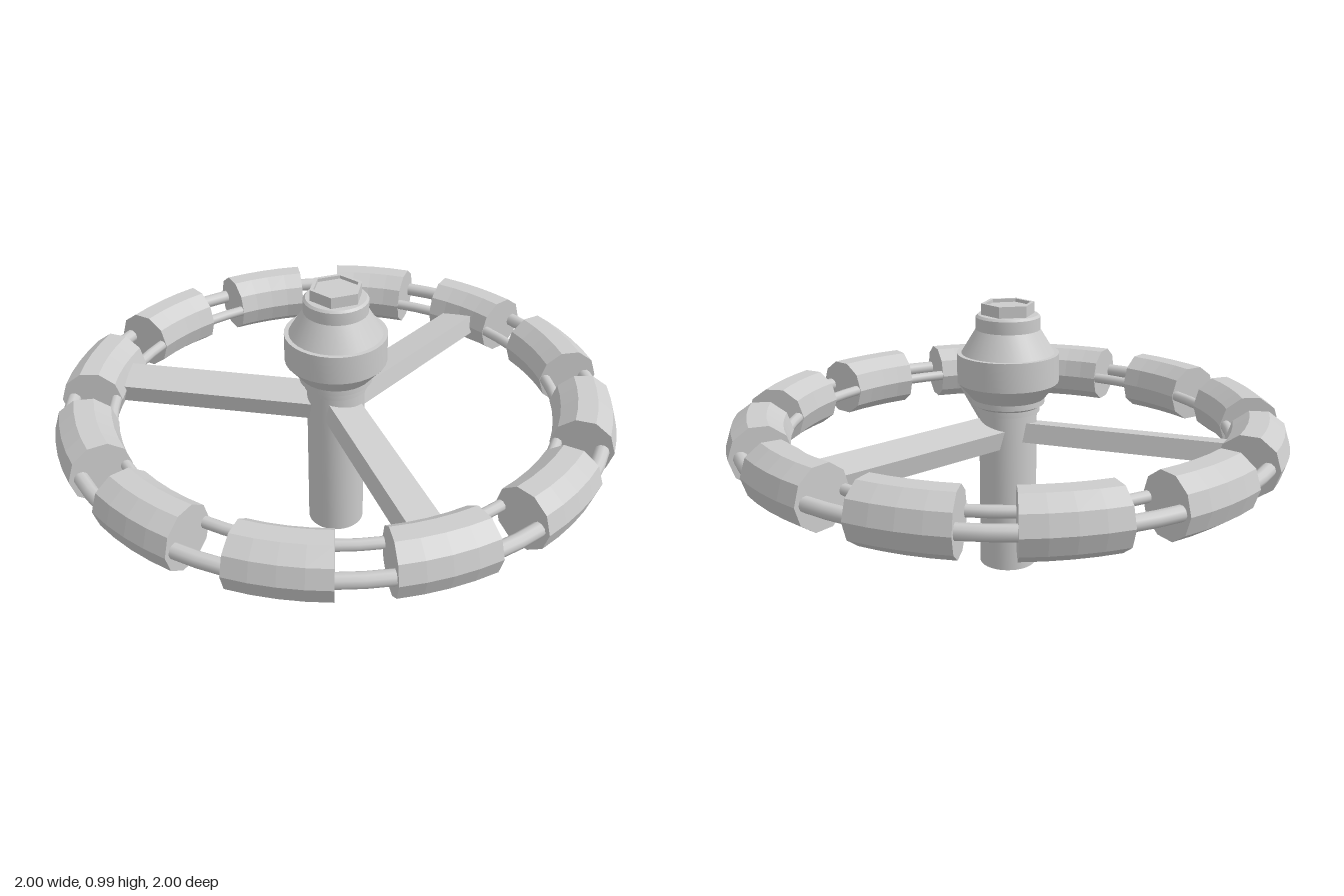
import * as THREE from 'three';
import { mergeGeometries, toCreasedNormals } from 'three/addons/utils/BufferGeometryUtils.js';

const RIM_Y = 0.525, RIM_R = 0.89, GRIP_R = 0.11;
const smooth = new THREE.MeshStandardMaterial({ color: 0xcccccc });
const faceted = new THREE.MeshStandardMaterial({ color: 0xcccccc, flatShading: true });

function add(parent, name, geometry, material = smooth) {
  const mesh = new THREE.Mesh(geometry, material);
  mesh.name = name;
  parent.add(mesh);
  return mesh;
}

// Solid turned about the y axis, with sharp edges kept
function turned(points, sides) {
  const profile = points.map(([r, y]) => new THREE.Vector2(r, y));
  return toCreasedNormals(new THREE.LatheGeometry(profile, sides), 0.45);
}

// Closed ten-sided arc of the rim, centred on +x
function gripGeometry() {
  const arc = THREE.MathUtils.degToRad(19.4);
  const tube = new THREE.TorusGeometry(RIM_R, GRIP_R, 10, 4, arc);
  const start = new THREE.CircleGeometry(GRIP_R, 10).rotateX(Math.PI / 2).translate(RIM_R, 0, 0);
  const end = new THREE.CircleGeometry(GRIP_R, 10).rotateX(-Math.PI / 2).translate(RIM_R, 0, 0).rotateZ(arc);
  return mergeGeometries([tube, start, end]).rotateZ(-arc / 2).rotateX(-Math.PI / 2);
}

function hexagon(r, Kind) {
  const shape = new Kind();
  for (let i = 0; i < 6; i++) {
    const a = Math.PI / 2 + i * Math.PI / 3;
    shape[i ? 'lineTo' : 'moveTo'](r * Math.cos(a), r * Math.sin(a));
  }
  shape.closePath();
  return shape;
}

export function createModel() {
  const model = new THREE.Group();
  model.name = 'handwheel';

  // Rim: twelve grips threaded on two thin rings
  const rim = new THREE.Group();
  rim.name = 'rim';
  rim.position.y = RIM_Y;
  model.add(rim);
  const grip = gripGeometry();
  for (let i = 0; i < 12; i++) {
    add(rim, 'grip', grip, faceted).rotation.y = i * Math.PI / 6;
  }
  add(rim, 'outerRing', new THREE.TorusGeometry(0.957, 0.026, 10, 72).rotateX(-Math.PI / 2));
  add(rim, 'innerRing', new THREE.TorusGeometry(0.803, 0.02, 10, 72).rotateX(-Math.PI / 2));

  // Three flat spokes, each rolled slightly about its length
  const spoke = new THREE.BoxGeometry(0.8, 0.07, 0.13).rotateX(-0.2).translate(0.43, 0, 0);
  for (let i = 0; i < 3; i++) {
    const mesh = add(model, 'spoke', spoke, faceted);
    mesh.position.y = RIM_Y - 0.005;
    mesh.rotation.y = i * Math.PI * 2 / 3;
  }

  // Central post
  add(model, 'post', turned([[0, 0], [0.105, 0], [0.105, 0.61], [0, 0.61]], 32));

  // Stepped hub cap above the spokes
  add(model, 'hubCap', turned([
    [0, 0.595], [0.115, 0.595], [0.115, 0.615], [0.132, 0.625], [0.132, 0.645],
    [0.183, 0.705], [0.183, 0.81], [0.167, 0.81], [0.115, 0.895],
    [0.115, 0.94], [0.107, 0.948], [0, 0.948],
  ], 32));

  // Hexagonal nut with a shallow recessed top
  const nutShape = hexagon(0.096, THREE.Shape);
  nutShape.holes.push(hexagon(0.082, THREE.Path));
  const nut = new THREE.ExtrudeGeometry(nutShape, { depth: 0.045, bevelEnabled: false });
  add(model, 'nut', nut.rotateX(-Math.PI / 2).translate(0, 0.943, 0), faceted);
  const core = new THREE.ExtrudeGeometry(hexagon(0.083, THREE.Shape), { depth: 0.033, bevelEnabled: false });
  add(model, 'nutCore', core.rotateX(-Math.PI / 2).translate(0, 0.943, 0), faceted);

  return model;
}
